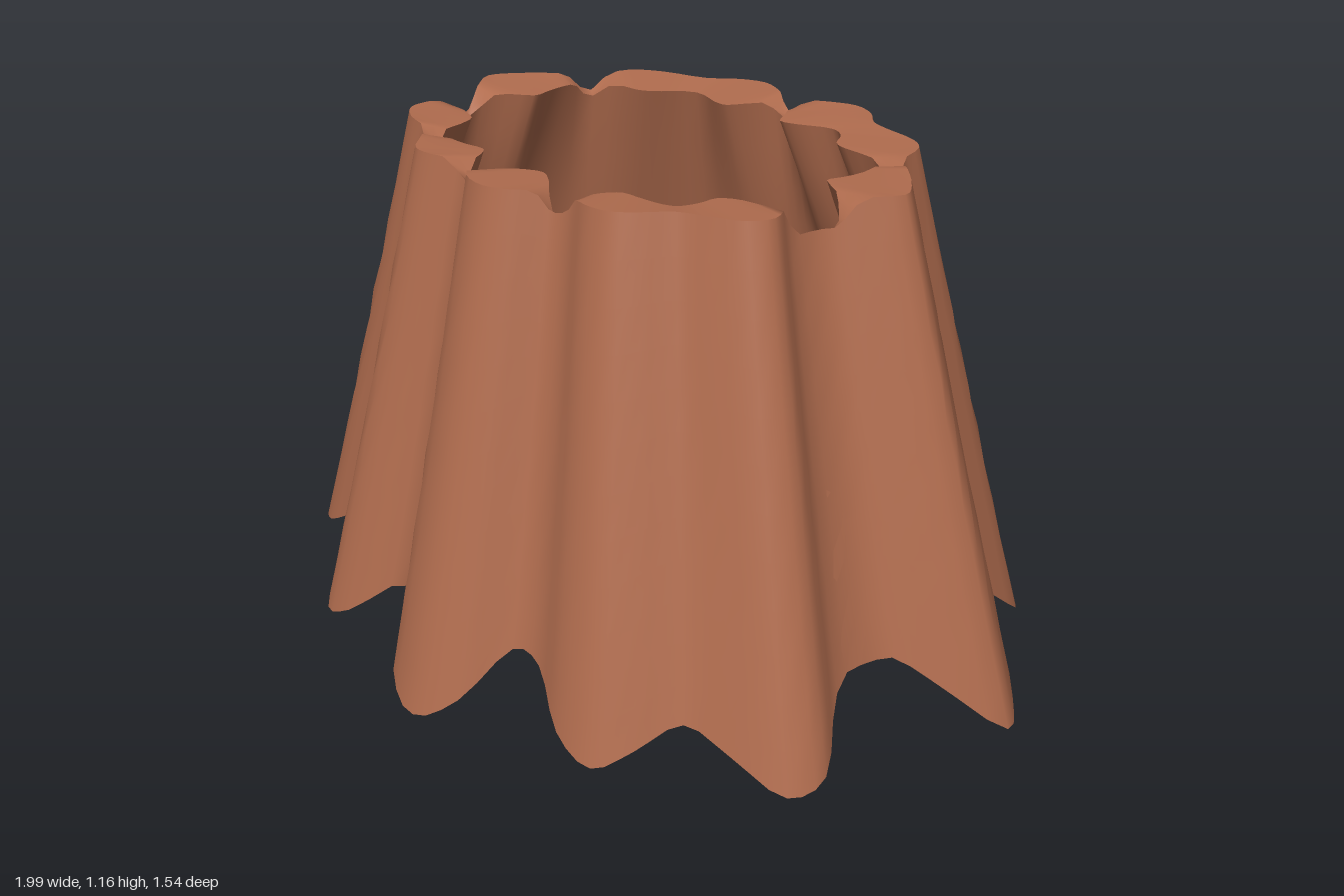
import * as THREE from 'three';

// Fluted outline of the hem, x and z, seen from above
const HEM = [
  [0.02, 0.77], [0.12, 0.73], [0.2, 0.65], [0.28, 0.64], [0.38, 0.67], [0.48, 0.66], [0.55, 0.6],
  [0.62, 0.52], [0.72, 0.48], [0.83, 0.43], [0.87, 0.35], [0.83, 0.25], [0.84, 0.12], [0.91, 0.03],
  [1, -0.1], [0.96, -0.18], [0.84, -0.31], [0.77, -0.37], [0.72, -0.52], [0.65, -0.58], [0.5, -0.62],
  [0.42, -0.65], [0.34, -0.73], [0.24, -0.77], [0.14, -0.74], [0, -0.67], [-0.1, -0.73], [-0.2, -0.77],
  [-0.3, -0.74], [-0.4, -0.66], [-0.58, -0.61], [-0.69, -0.54], [-0.73, -0.38], [-0.84, -0.31],
  [-0.95, -0.2], [-1, -0.1], [-0.92, 0.02], [-0.86, 0.12], [-0.87, 0.28], [-0.86, 0.37], [-0.76, 0.45],
  [-0.62, 0.5], [-0.53, 0.59], [-0.45, 0.67], [-0.36, 0.68], [-0.2, 0.65], [-0.1, 0.74],
];
const HEIGHT = 1.165, TAPER = 0.34, COLS = 141;

const outline = new THREE.CatmullRomCurve3(HEM.map(([x, z]) => new THREE.Vector3(x, 0, z)), true, 'centripetal');

// For every column: direction, how far its flute bulges, hem height and rim height
const columns = Array.from({ length: COLS }, (_, i) => {
  const { x, z } = outline.getPoint(i / COLS);
  const bulge = Math.hypot(x / 0.88, z / 0.66) - 1;
  return {
    x, z, bulge,
    hem: THREE.MathUtils.clamp(0.19 - 1.15 * bulge, 0, 0.2),
    rim: HEIGHT - THREE.MathUtils.clamp(0.05 - bulge, 0, 0.06),
  };
});

// Closed band of rows; point(column, v, i) gives a vertex, v runs 0..1
function band(name, rows, material, point) {
  const pos = [], idx = [];
  for (let r = 0; r <= rows; r++) columns.forEach((c, i) => pos.push(...point(c, r / rows, i)));
  for (let r = 0; r < rows; r++) {
    for (let i = 0; i < COLS; i++) {
      const a = r * COLS + i, b = r * COLS + (i + 1) % COLS;
      idx.push(a, b, b + COLS, a, b + COLS, a + COLS);
    }
  }
  return surface(name, pos, idx, material);
}

function surface(name, pos, idx, material) {
  const g = new THREE.BufferGeometry();
  g.setAttribute('position', new THREE.Float32BufferAttribute(pos, 3));
  g.setIndex(idx);
  g.computeVertexNormals();
  const mesh = new THREE.Mesh(g, material);
  mesh.name = name;
  return mesh;
}

// Scale of the tapering outer wall at height y
const taper = (y) => 1 - TAPER * y / HEIGHT;
// Scale of the lining at the rim: it folds inward where the flute bulges outward
const fold = (c) => taper(c.rim) * (0.985 - 1.9 * Math.max(0, c.bulge));

export function createModel() {
  const group = new THREE.Group();
  const cloth = new THREE.MeshStandardMaterial({ color: 0xb06c4e, side: THREE.DoubleSide });
  const teal = new THREE.MeshStandardMaterial({ color: 0x3f8484, side: THREE.DoubleSide });

  // Outer wall with slight creases in the cloth
  group.add(band('outerCloth', 12, cloth, (c, v, i) => {
    const y = THREE.MathUtils.lerp(c.hem, c.rim, v);
    const crease = 0.007 * Math.sin(i * 1.3 + v * 17) * Math.sin(v * Math.PI);
    const s = taper(y) - Math.abs(crease);
    return [c.x * s, y, c.z * s];
  }));

  // Flat tops of the flutes
  group.add(band('rim', 2, cloth, (c, v) => {
    const s = THREE.MathUtils.lerp(taper(c.rim), fold(c), v);
    return [c.x * s, c.rim - 0.01 * v, c.z * s];
  }));

  // Lining, meeting the outer wall at the hem
  group.add(band('lining', 10, cloth, (c, v) => {
    const y = THREE.MathUtils.lerp(c.rim - 0.01, c.hem, v);
    const s = THREE.MathUtils.lerp(fold(c), taper(c.hem), v);
    return [c.x * s, y, c.z * s];
  }));

  // Patch at the back, passing through the wall to the inside near the hem
  const profile = [[1.0, -0.465], [0.7, -0.52], [0.42, -0.57], [0.25, -0.535], [0.08, -0.48]];
  const pos = [], idx = [];
  profile.forEach(([y, z], r) => {
    pos.push(-0.55, y, z, -0.18, y, z);
    if (r) idx.push(2 * r - 2, 2 * r - 1, 2 * r + 1, 2 * r - 2, 2 * r + 1, 2 * r);
  });
  group.add(surface('patch', pos, idx, teal));

  return group;
}
